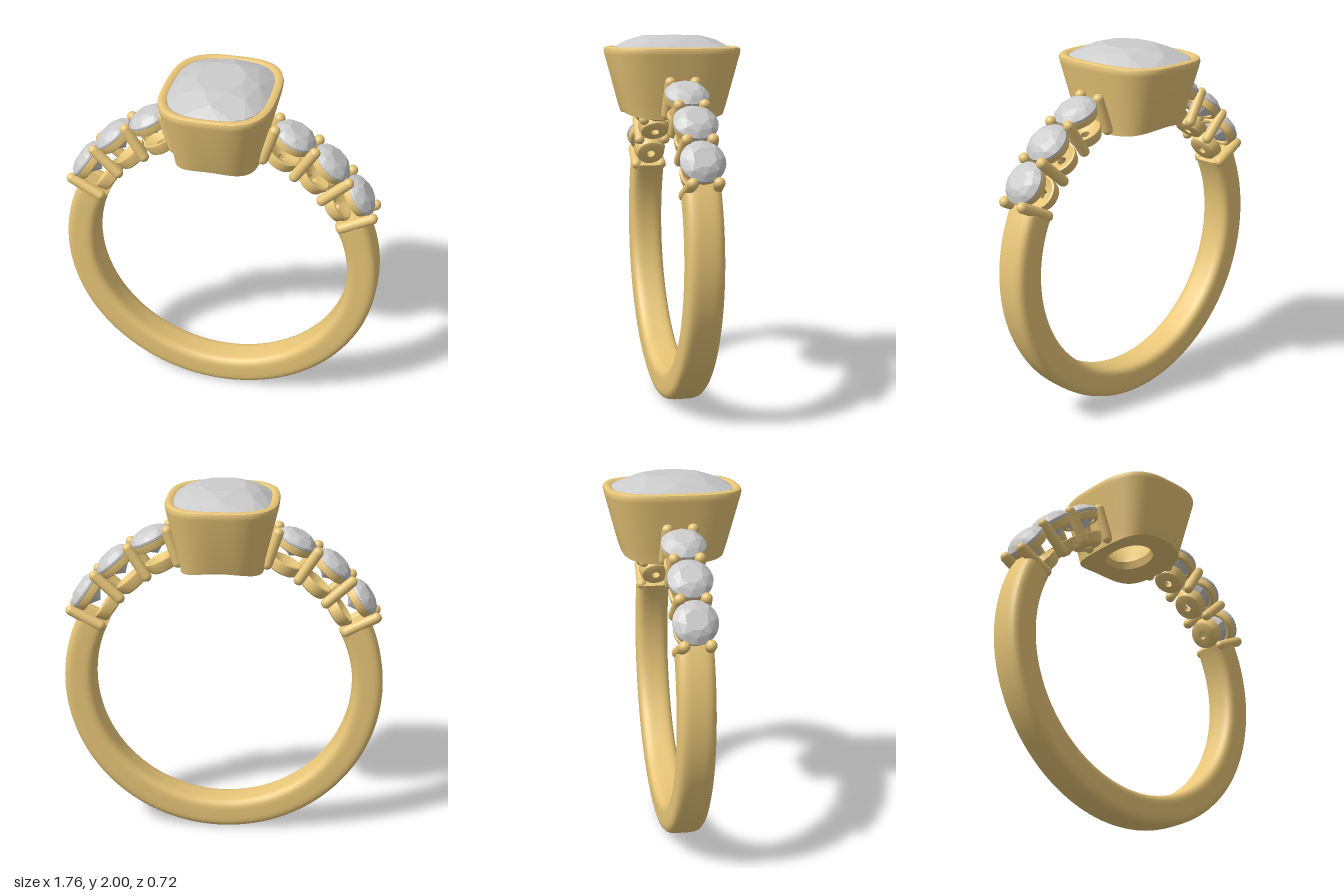
import * as THREE from 'three';
import { toCreasedNormals } from 'three/addons/utils/BufferGeometryUtils.js';
import { ConvexGeometry } from 'three/addons/geometries/ConvexGeometry.js';

const CENTRE_Y = 0.882, INNER_R = 0.713, OUTER_R = 0.88;
const V = (x, y, z) => new THREE.Vector3(x, y, z);
const rad = THREE.MathUtils.degToRad;

const gold = new THREE.MeshStandardMaterial({ color: 0xe8c678 });
const stone = new THREE.MeshStandardMaterial({ color: 0xcccccc, flatShading: true });

function mesh(name, geometry, material, parent) {
  const m = new THREE.Mesh(geometry, material);
  m.name = name;
  parent.add(m);
  return m;
}

// Points of a cushion outline (superellipse) with half sizes a, b
function cushion(a, b, n, count, y = 0, shift = 0) {
  return Array.from({ length: count }, (_, i) => {
    const t = ((i + shift) / count) * Math.PI * 2, c = Math.cos(t), s = Math.sin(t);
    const r = (Math.abs(c / a) ** n + Math.abs(s / b) ** n) ** (-1 / n);
    return V(r * c, y, r * s);
  });
}

// Skin joining successive closed rings of equal point count
function loft(rings, crease = 0.6) {
  const n = rings[0].length, index = [];
  for (let j = 0; j < rings.length - 1; j++) {
    for (let i = 0; i < n; i++) {
      const p = j * n + i, q = j * n + ((i + 1) % n);
      index.push(p, p + n, q, q, p + n, q + n);
    }
  }
  const g = new THREE.BufferGeometry().setFromPoints(rings.flat());
  g.setIndex(index);
  return toCreasedNormals(g, crease);
}

// Band: rounded section swept round the open lower arc, with flat ends
function bandGeometry() {
  const R = (INNER_R + OUTER_R) / 2, h = (OUTER_R - INNER_R) / 2, steps = 120;
  const section = cushion(h, 0.094, 4.5, 40);
  const ring = (angle, scale) => section.map(p => V(
    Math.cos(angle) * (R + p.x * scale), Math.sin(angle) * (R + p.x * scale), p.z * scale));
  const from = rad(152), to = rad(388);
  const rings = [ring(from, 0.001)];
  for (let i = 0; i <= steps; i++) rings.push(ring(from + ((to - from) * i) / steps, 1));
  rings.push(ring(to, 0.001));
  return loft(rings);
}

// Bezel: tapering cushion cup, open below, its base cut to the finger curve
function bezelGeometry() {
  const profile = [ // half x, half z, height (null = on the finger curve), roundness
    [0.222, 0.272, null, 3.2], [0.232, 0.285, 1.63, 3.2], [0.296, 0.356, 1.9, 3.1],
    [0.299, 0.36, 1.92, 3.1], [0.295, 0.356, 1.934, 3.1], [0.285, 0.346, 1.94, 3.1],
    [0.268, 0.329, 1.94, 3.1], [0.255, 0.316, 1.932, 3.1], [0.248, 0.309, 1.915, 3.1],
    [0.245, 0.305, 1.87, 3.1], [0.12, 0.155, 1.68, 2.3], [0.1, 0.135, 1.63, 2.2],
    [0.115, 0.15, null, 2.2], [0.222, 0.272, null, 3.2],
  ];
  return loft(profile.map(([a, b, y, n]) => cushion(a, b, n, 80, y ?? 0).map(p => {
    if (y === null) p.y = CENTRE_Y + Math.sqrt(INNER_R ** 2 - p.x ** 2);
    return p;
  })));
}

// Faceted gem: hull of table, crown, girdle, pavilion and culet points
function gemGeometry(a, b, n, girdle, crown, depth) {
  return new ConvexGeometry([
    ...cushion(a * 0.48, b * 0.5, 2.2, 8, girdle + crown, 0.5),
    ...cushion(a * 0.77, b * 0.78, 2.3, 8, girdle + crown * 0.66),
    ...cushion(a, b, n, 32, girdle + 0.004),
    ...cushion(a, b, n, 32, girdle - 0.008),
    ...cushion(a * 0.55, b * 0.55, 2.2, 8, girdle - depth * 0.55, 0.5),
    V(0, girdle - depth, 0),
  ]);
}

const lathe = points => toCreasedNormals(
  new THREE.LatheGeometry(points.map(([x, y]) => new THREE.Vector2(x, y)), 40), 0.6);

export function createModel() {
  const model = new THREE.Group();
  model.name = 'ring';

  mesh('band', bandGeometry(), gold, model).position.y = CENTRE_Y;
  mesh('bezel', bezelGeometry(), gold, model);
  mesh('centreStone', gemGeometry(0.256, 0.316, 3, 1.928, 0.072, 0.24), stone, model);

  // Side setting parts, measured outward from the ring centre along local y
  const gem = gemGeometry(0.115, 0.115, 2, 0.915, 0.045, 0.1);
  const rail = lathe([[0.094, 0.858], [0.104, 0.864], [0.111, 0.893], [0.11, 0.904],
    [0.1, 0.908], [0.086, 0.885], [0.082, 0.862], [0.094, 0.858]]);
  const cup = lathe([[0.024, 0.722], [0.068, 0.722], [0.08, 0.73], [0.093, 0.775],
    [0.092, 0.787], [0.082, 0.79], [0.06, 0.775], [0.024, 0.76], [0.024, 0.722]]);
  const prong = new THREE.CapsuleGeometry(0.029, 0.178, 8, 16);

  const radial = (name, degrees) => {
    const g = new THREE.Group();
    g.name = name;
    g.position.y = CENTRE_Y;
    g.rotation.z = rad(degrees - 90);
    model.add(g);
    return g;
  };

  for (const side of ['left', 'right']) {
    const turn = d => (side === 'left' ? d : 180 - d);
    for (const d of [34.5, 49.5, 64.5]) {
      const setting = radial(side + 'Setting', turn(d));
      mesh('sideStone', gem, stone, setting);
      mesh('upperRail', rail, gold, setting);
      mesh('lowerCup', cup, gold, setting);
    }
    // Prong pairs shared by neighbouring stones
    for (const d of [27, 42, 57, 71.5]) {
      const pair = radial(side + 'Prongs', turn(d));
      for (const s of [-1, 1]) {
        const p = mesh('prong', prong, gold, pair);
        p.position.set(0, 0.837, s * 0.071);
        p.rotation.x = -s * 0.05;
      }
    }
  }
  return model;
}
